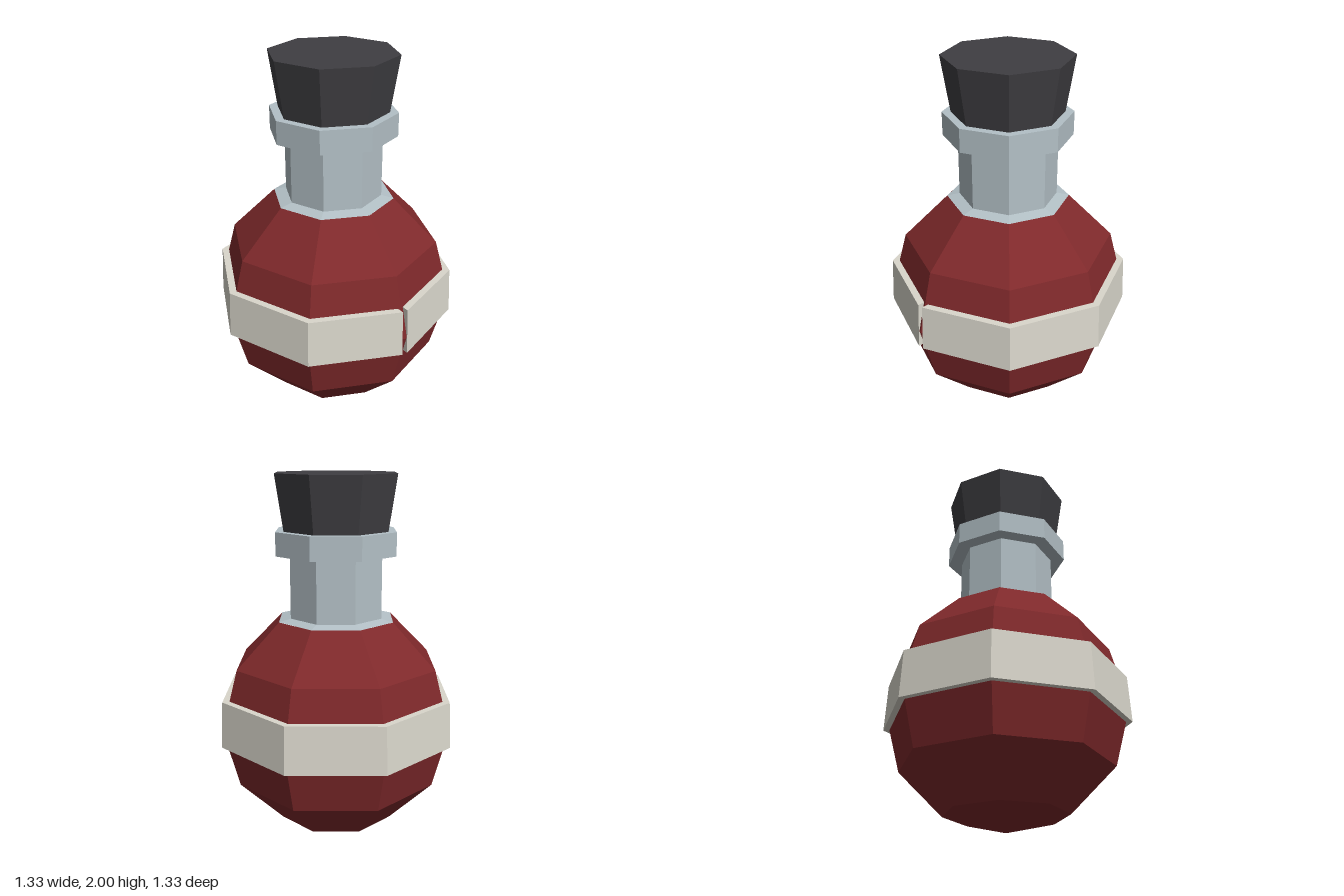
import * as THREE from 'three';

const SIDES = 8;

// Flat-shaded eight-sided part turned from a profile of [radius, y] points, bottom to top
function turned(profile) {
  return new THREE.LatheGeometry(profile.map(([r, y]) => new THREE.Vector2(r, y)), SIDES);
}

function addPart(group, name, geometry, color) {
  const flat = geometry.toNonIndexed();
  flat.computeVertexNormals();
  const mesh = new THREE.Mesh(flat, new THREE.MeshStandardMaterial({ color, flatShading: true }));
  mesh.name = name;
  group.add(mesh);
}

// Strap around the widest part, with a narrow slit at the front
function strapGeometry() {
  const profile = [[0.667, 0.565], [0.654, 0.82], [0.6, 0.82], [0.6, 0.565], [0.667, 0.565]];
  const geo = turned(profile);
  const n = profile.length, last = SIDES * n, halfGap = 0.015;
  const pos = geo.attributes.position;
  for (let j = 0; j < n; j++) {
    // Slide both ends back along their walls to open the slit
    const z = profile[j][0] - halfGap * Math.tan(Math.PI / SIDES);
    pos.setXYZ(j, halfGap, profile[j][1], z);
    pos.setXYZ(last + j, -halfGap, profile[j][1], z);
  }
  // Close the two strap ends
  geo.setIndex([
    ...geo.index.array,
    0, 1, 2, 0, 2, 3,
    last, last + 2, last + 1, last, last + 3, last + 2,
  ]);
  return geo;
}

export function createModel() {
  const group = new THREE.Group();
  group.name = 'potionFlask';

  // Round bulb: a sphere profile in 30 degree steps, ending at the shoulder
  const R = 0.658;
  const bulb = [];
  for (let i = 0; i <= 5; i++) {
    const a = (i * Math.PI) / 6;
    bulb.push([R * Math.sin(a), R - R * Math.cos(a)]);
  }
  addPart(group, 'bulb', turned(bulb), 0x7f292b);

  addPart(group, 'strap', strapGeometry(), 0xdad7cc);

  // Sloped shoulder, neck and projecting lip
  addPart(group, 'neck', turned([
    [0.329, 1.228], [0.262, 1.243], [0.262, 1.58],
    [0.34, 1.58], [0.34, 1.705], [0, 1.705],
  ]), 0xb3c0c6);

  // Tapered stopper
  addPart(group, 'stopper', turned([[0.293, 1.7], [0.34, 2], [0, 2]]), 0x3f3e42);

  return group;
}
